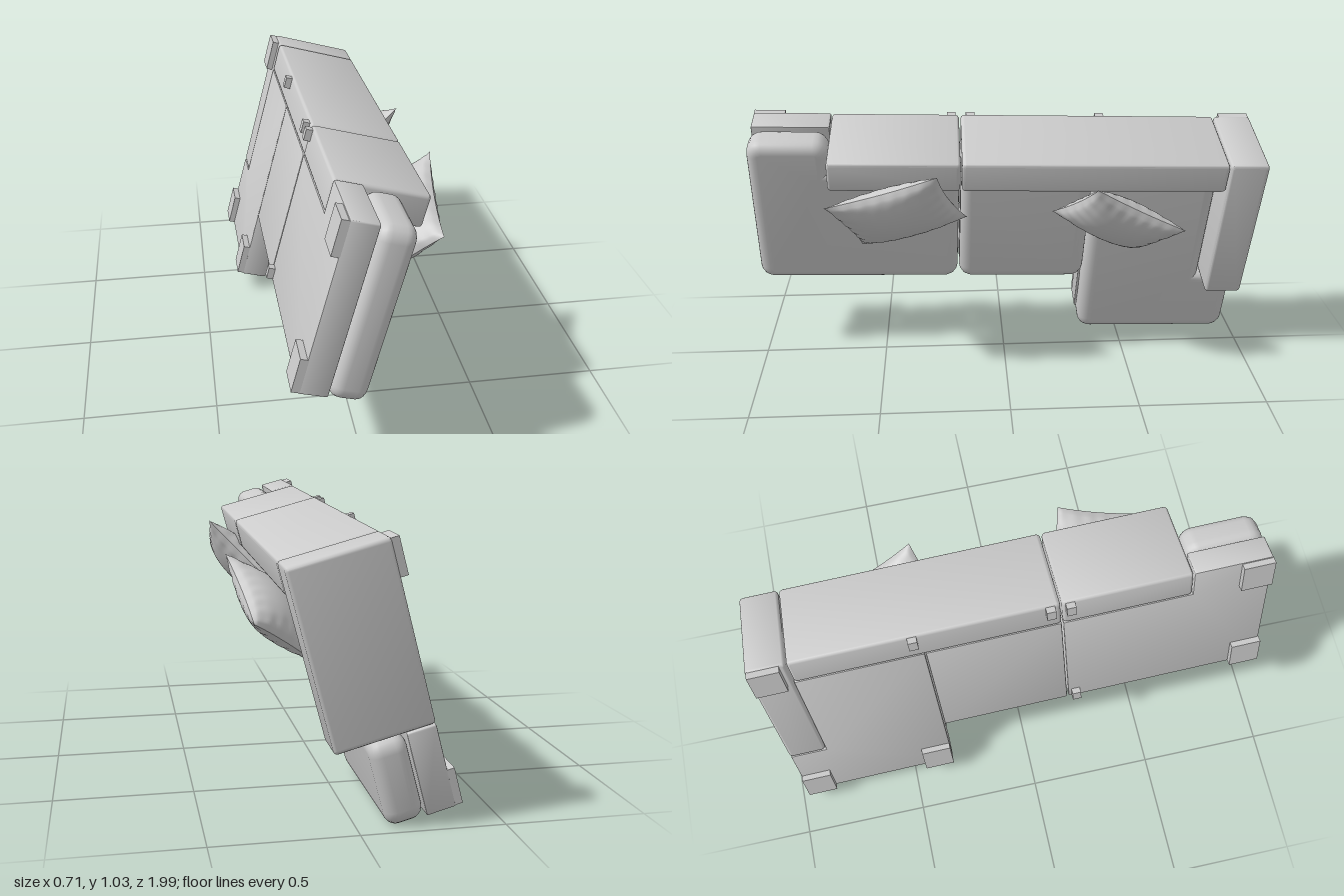
import * as THREE from 'three';
import { mergeGeometries, toCreasedNormals } from 'three/addons/utils/BufferGeometryUtils.js';

const material = new THREE.MeshStandardMaterial({ color: 0xcccccc });
const V = (x, y, z) => new THREE.Vector3(x, y, z);

// Padded slab: right-angled plan outline [x, z], from y0 to y1, edges rounded by b
function slab(name, plan, y0, y1, b, segments = 3) {
  let pts = plan.map(([x, z]) => new THREE.Vector2(x, -z));
  if (THREE.ShapeUtils.isClockWise(pts)) pts.reverse();
  const n = pts.length;
  const at = (list, i) => list[(i + n) % n];
  const dir = (i) => at(pts, i + 1).clone().sub(at(pts, i)).normalize();
  const convex = pts.map((p, i) => dir((i + n - 1) % n).cross(dir(i)) > 0);
  // inset the outline so the bevel ends on the plan
  const inner = pts.map((p, i) => {
    const d0 = dir((i + n - 1) % n), d1 = dir(i);
    return V(p.x - b * (d0.y + d1.y), p.y + b * (d0.x + d1.x), 0);
  });
  const shape = new THREE.Shape();
  const r = b * 0.4;
  inner.forEach((p, i) => {
    const a = convex[i] ? p.clone().add(at(inner, i - 1).clone().sub(p).setLength(r)) : p;
    if (i === 0) shape.moveTo(a.x, a.y);
    else shape.lineTo(a.x, a.y);
    if (convex[i]) {
      const c = p.clone().add(at(inner, i + 1).clone().sub(p).setLength(r));
      shape.quadraticCurveTo(p.x, p.y, c.x, c.y);
    }
  });
  shape.closePath();
  const geo = new THREE.ExtrudeGeometry(shape, {
    depth: y1 - y0 - 2 * b, bevelEnabled: true, bevelSize: b, bevelThickness: b,
    bevelSegments: segments, curveSegments: 4,
  });
  geo.translate(0, 0, y0 + b);
  geo.rotateX(-Math.PI / 2);
  const mesh = new THREE.Mesh(toCreasedNormals(geo, 0.6), material);
  mesh.name = name;
  return mesh;
}

const rect = (x0, x1, z0, z1) => [[x0, z0], [x1, z0], [x1, z1], [x0, z1]];

// Throw pillow: two puffed faces meeting in a pinched, slightly wrinkled seam
function pillow(name, center, e1, e2, thickness) {
  const w = e1.length() / 2, h = e2.length() / 2;
  const half = (side) => {
    const g = new THREE.PlaneGeometry(2, 2, 40, 40);
    const p = g.attributes.position;
    for (let i = 0; i < p.count; i++) {
      const u = p.getX(i), v = p.getY(i);
      const fu = Math.max(0, 1 - u * u), fv = Math.max(0, 1 - v * v);
      const edge = Math.max(u * u, v * v) ** 3;
      const wrinkle = 1 + 0.13 * edge * (Math.sin(23 * u + 2 * v) * Math.abs(v) + Math.sin(19 * v + u) * Math.abs(u));
      p.setXYZ(i, w * u * (1 - 0.07 * fv), h * v * (1 - 0.07 * fu),
        thickness / 2 * (fu * fv) ** 0.55 * wrinkle);
    }
    if (side < 0) g.rotateY(Math.PI);
    g.computeVertexNormals();
    return g;
  };
  const mesh = new THREE.Mesh(mergeGeometries([half(1), half(-1)]), material);
  const a = e1.clone().normalize();
  const n = a.clone().cross(e2).normalize();
  mesh.quaternion.setFromRotationMatrix(new THREE.Matrix4().makeBasis(a, n.clone().cross(a), n));
  mesh.position.copy(center);
  mesh.name = name;
  return mesh;
}

export function createModel() {
  const model = new THREE.Group();
  model.name = 'cornerSofa';

  // Sofa built upright (x along its length, z to its front), then tipped onto its back
  const sofa = new THREE.Group();
  sofa.name = 'sofa';
  const up = V(Math.cos(0.2635), -Math.sin(0.2635), 0);
  const along = V(-0.0075, -0.028, -1);
  along.addScaledVector(up, -along.dot(up)).normalize();
  const front = along.clone().cross(up);
  sofa.quaternion.setFromRotationMatrix(new THREE.Matrix4().makeBasis(along, up, front));

  const bottom = -0.34, seat = -0.236, top = 0.01;
  const back = -0.945, backFront = -0.82, seatFront = -0.295;
  const left = -1, seam = -0.197, chaise = 0.326, arm = 0.82, right = 0.97;

  // Seat plans: open end seat, middle seat, chaise
  const plans = {
    endSeat: (g, f) => [[left - g, back], [-0.7, back], [-0.7, backFront], [seam - 0.003, backFront],
      [seam - 0.003, seatFront + f], [left - g, seatFront + f]],
    middleSeat: (g, f) => rect(seam + 0.003, chaise - 0.002, backFront, seatFront + f),
    chaiseSeat: (g, f) => [[chaise + 0.002, backFront], [arm, backFront], [arm, -0.303],
      [right - 0.003, -0.303], [right - 0.003, f], [chaise + 0.002, f]],
  };
  for (const [name, plan] of Object.entries(plans)) {
    sofa.add(slab(name + 'Base', plan(0, 0), bottom, seat, 0.006, 2));
    sofa.add(slab(name + 'Cushion', plan(0.008, 0.012), seat + 0.002, -0.102, 0.042, 6));
  }

  // Backrests and arm reach the full height
  sofa.add(slab('shortBackrest', rect(-0.697, seam - 0.003, back, backFront), bottom, top, 0.012));
  sofa.add(slab('longBackrest', rect(seam + 0.003, arm - 0.002, back, backFront), bottom, top, 0.012));
  sofa.add(slab('armrest', rect(arm + 0.002, right, back, -0.305), bottom, top, 0.012));

  // Feet: wide pads at the outer corners, small pads at the seams
  const foot = (name, x, z, w, d) => {
    const m = new THREE.Mesh(new THREE.BoxGeometry(w, 0.03, d), material);
    m.position.set(x, bottom - 0.01, z);
    m.name = name;
    sofa.add(m);
  };
  for (const [x, z] of [[-0.94, -0.875], [-0.94, -0.365], [0.905, -0.875], [0.905, -0.07], [0.39, -0.07]])
    foot('cornerFoot', x, z, 0.12, 0.13);
  for (const [x, z] of [[-0.23, -0.915], [-0.155, -0.915], [0.36, -0.915], [-0.23, -0.325]])
    foot('seamFoot', x, z, 0.035, 0.045);
  model.add(sofa);

  model.add(pillow('endPillow', V(0.2, 0.705, 0.415), V(0.045, 0.13, -0.42), V(-0.26, -0.265, -0.12), 0.15));
  model.add(pillow('chaisePillow', V(0.2, 0.652, -0.433), V(0.055, 0.195, 0.35), V(-0.25, -0.18, 0.15), 0.15));
  return model;
}
